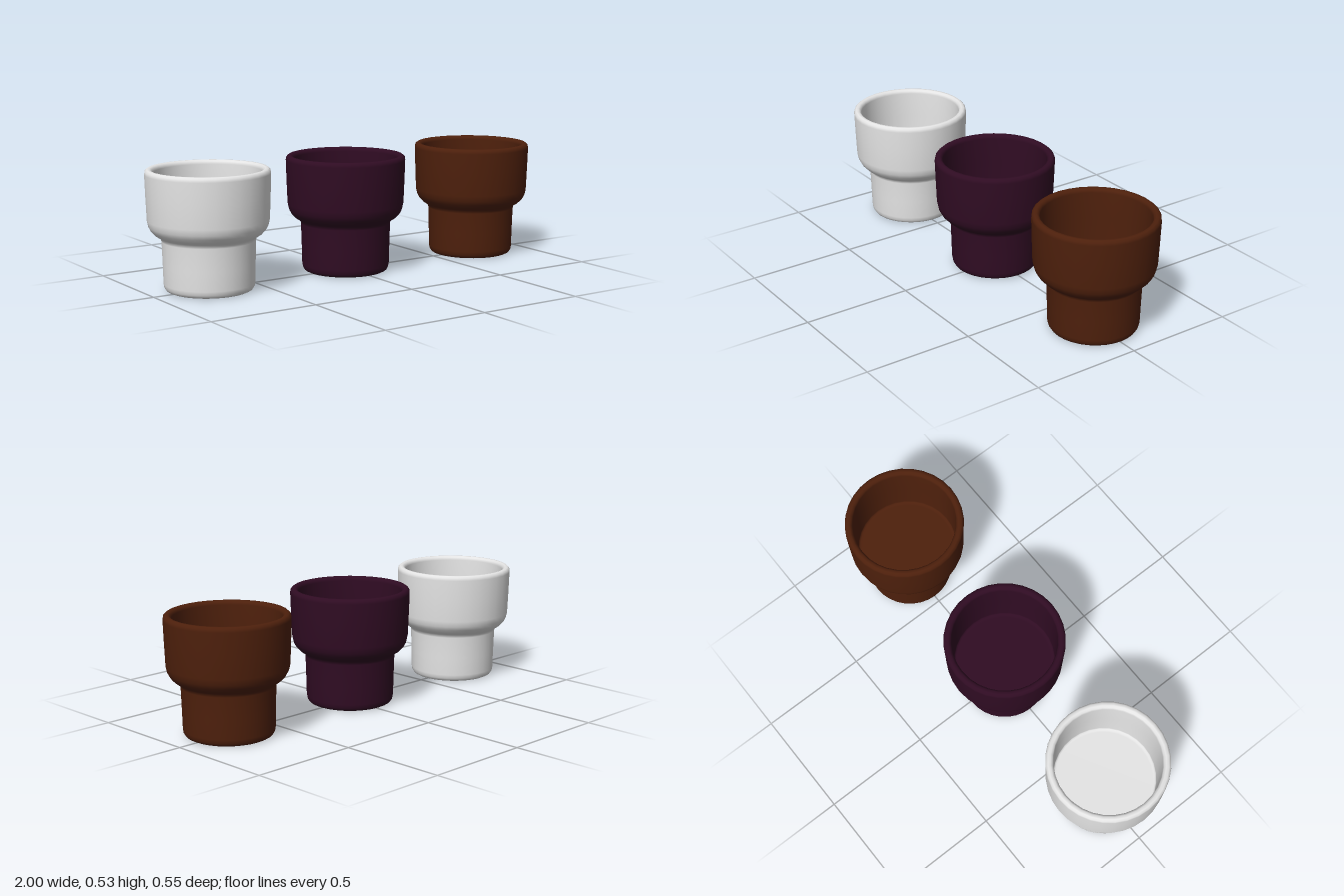
import * as THREE from 'three';

// Half section of a cup: domed foot, stepped outer wall, rounded rim, inner bowl
const PROFILE = [
  [0, 0.1], [0.04, 0.098], [0.08, 0.089], [0.11, 0.074],      // dome under the foot
  [0.132, 0.054], [0.147, 0.03], [0.157, 0.012], [0.168, 0.003],
  [0.18, 0.002], [0.19, 0.007], [0.197, 0.018], [0.2, 0.035], // foot edge
  [0.202, 0.12], [0.205, 0.222], [0.208, 0.232], [0.215, 0.24], // foot wall and step
  [0.234, 0.252], [0.25, 0.269], [0.26, 0.288], [0.266, 0.315],
  [0.27, 0.42], [0.273, 0.515], [0.271, 0.528], [0.262, 0.536], // outer bowl wall
  [0.25, 0.536], [0.241, 0.53], [0.237, 0.518],               // rim
  [0.235, 0.4], [0.232, 0.268], [0.23, 0.26], [0.224, 0.257], // inner wall
  [0.215, 0.256], [0, 0.256],                                 // floor
].map(([r, y]) => new THREE.Vector2(r, y));

function makeMaterial(name, color) {
  const material = new THREE.MeshStandardMaterial({ color });
  material.name = name;
  return material;
}

export function createModel() {
  const group = new THREE.Group();
  group.name = 'cups';
  const geometry = new THREE.LatheGeometry(PROFILE, 32);
  const cups = [
    ['whiteCup', -0.727, makeMaterial('white', 0xe6e6e6)],
    ['purpleCup', -0.01, makeMaterial('darkPurple', 0x300c23)],
    ['brownCup', 0.725, makeMaterial('brown', 0x4e200c)],
  ];
  for (const [name, x, material] of cups) {
    const cup = new THREE.Mesh(geometry, material);
    cup.name = name;
    cup.position.x = x;
    group.add(cup);
  }
  return group;
}
